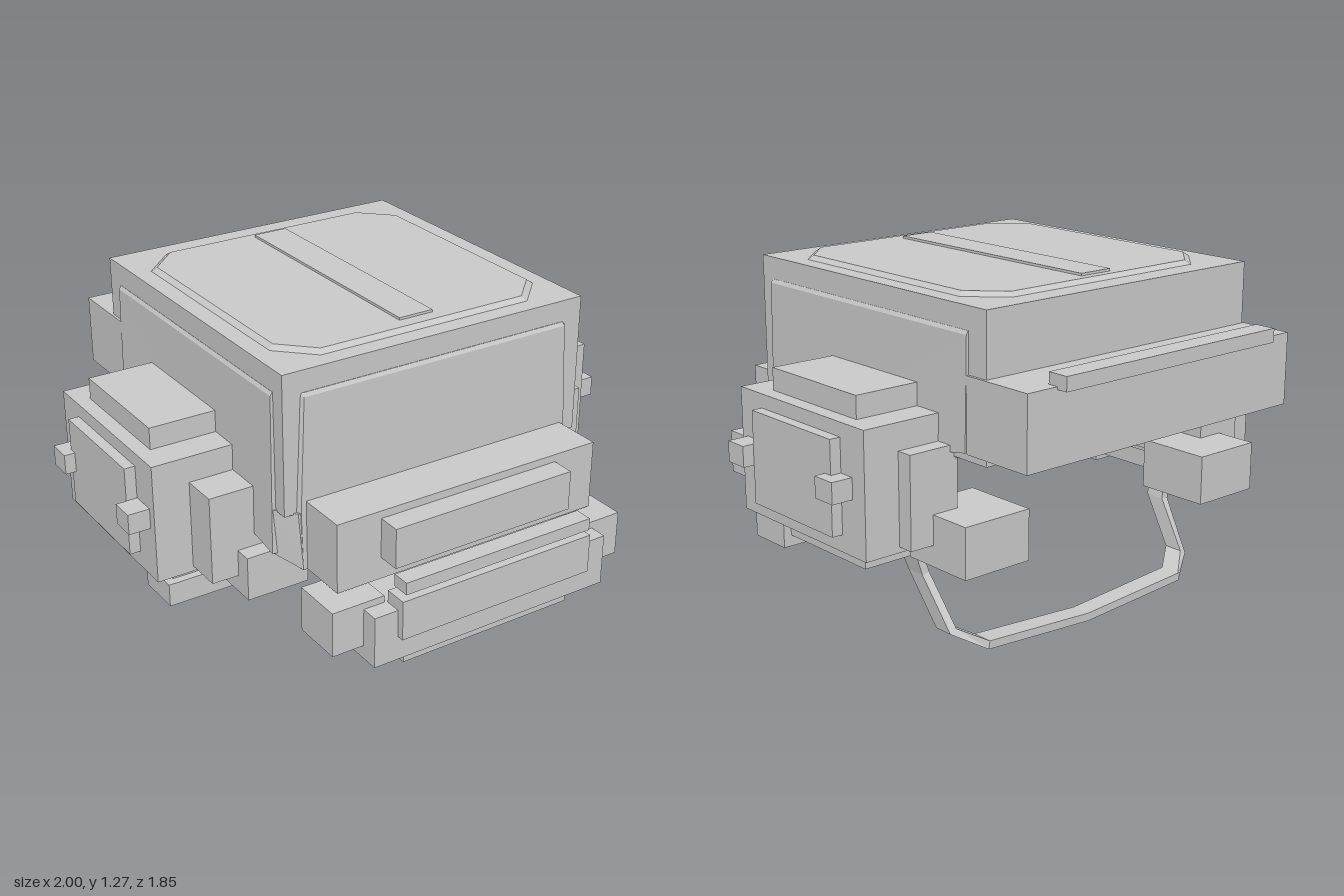
import * as THREE from 'three';

export function createModel() {
  const model = new THREE.Group();
  model.name = 'helmet';
  const grey = new THREE.MeshStandardMaterial({ color: 0xc8c8c8 });
  grey.name = 'plain grey';

  const add = (name, geometry) => {
    const mesh = new THREE.Mesh(geometry, grey);
    mesh.name = name;
    model.add(mesh);
  };

  // Box given by its extents
  const box = (name, x0, x1, y0, y1, z0, z1) => {
    const g = new THREE.BoxGeometry(x1 - x0, y1 - y0, z1 - z0);
    g.translate((x0 + x1) / 2, (y0 + y1) / 2, (z0 + z1) / 2);
    add(name, g);
  };

  // Flat-shaded solid through a list of convex cross-sections
  const loft = (name, rings) => {
    const tris = [];
    const n = rings[0].length;
    for (let r = 0; r < rings.length - 1; r++) {
      const a = rings[r], b = rings[r + 1];
      for (let i = 0; i < n; i++) {
        const j = (i + 1) % n;
        tris.push([a[i], a[j], b[j]], [a[i], b[j], b[i]]);
      }
    }
    const first = rings[0], last = rings[rings.length - 1];
    for (let i = 1; i < n - 1; i++) {
      tris.push([first[0], first[i + 1], first[i]], [last[0], last[i], last[i + 1]]);
    }
    // Turn the faces outward whichever way the sections were listed
    const v = (p) => new THREE.Vector3(...p);
    const origin = v(first[0]);
    const volume = tris.reduce((sum, [a, b, c]) => sum +
      v(a).sub(origin).dot(v(b).sub(origin).cross(v(c).sub(origin))), 0);
    if (volume < 0) tris.forEach((t) => t.reverse());
    const g = new THREE.BufferGeometry();
    g.setAttribute('position', new THREE.Float32BufferAttribute(tris.flat(2), 3));
    g.computeVertexNormals();
    add(name, g);
  };

  // Shell: square crown and a lower part whose rim rises to the back
  box('crown', -0.605, 0.605, 0.74, 1.248, -0.685, 0.545);
  const rim = (x) => [[x, 0.58, 0.49], [x, 0.745, -0.6], [x, 0.8, -0.6], [x, 0.8, 0.49]];
  loft('lowerShell', [rim(-0.6), rim(0.6)]);

  // Front panel with bevelled edges, flaring slightly towards the bottom
  const frontSection = (y, outer, inner, z) =>
    [[-outer, y, 0.543], [outer, y, 0.543], [inner, y, z], [-inner, y, z]];
  loft('frontPanel', [
    frontSection(0.53, 0.55, 0.545, 0.562),
    frontSection(0.74, 0.56, 0.55, 0.56),
    frontSection(1.157, 0.54, 0.53, 0.555),
    frontSection(1.17, 0.535, 0.525, 0.547),
  ]);
  box('frontPanelCore', -0.545, 0.545, 0.535, 0.75, 0.45, 0.545);

  // Raised bevelled octagon and ridge on the crown
  const octagon = (inset, y) => {
    const x = 0.54 - inset, z0 = -0.6 + inset, z1 = 0.48 - inset, c = 0.12 - inset * 0.4;
    return [[x - c, z0], [x, z0 + c], [x, z1 - c], [x - c, z1],
      [c - x, z1], [-x, z1 - c], [-x, z0 + c], [c - x, z0]].map(([px, pz]) => [px, y, pz]);
  };
  loft('topPlate', [octagon(0, 1.247), octagon(0.02, 1.263)]);
  box('topRidge', -0.067, 0.067, 1.26, 1.272, -0.55, 0.41);

  // Brow, visor and breather at the front
  box('brow', -0.53, 0.53, 0.53, 0.785, 0.5, 0.745);
  box('visor', -0.36, 0.36, 0.61, 0.757, 0.74, 0.83);
  box('visorBar', -0.38, 0.38, 0.565, 0.61, 0.853, 0.92);
  box('breatherPlate', -0.39, 0.39, 0.395, 0.54, 0.83, 0.917);
  box('breather', -0.48, 0.48, 0.305, 0.495, 0.68, 0.89);
  box('chin', -0.345, 0.345, 0.26, 0.31, 0.73, 0.86);

  // Neck guard and bar at the back
  box('neckGuard', -0.615, 0.615, 0.765, 1.025, -0.885, -0.6);
  box('neckBar', -0.49, 0.49, 1.015, 1.065, -0.925, -0.845);

  // Parts repeated on both sides
  for (const [side, s] of [['left', 1], ['right', -1]]) {
    const sideBox = (name, x0, x1, ...rest) =>
      box(side + name, Math.min(s * x0, s * x1), Math.max(s * x0, s * x1), ...rest);

    // Bevelled, flared side panel with a slanted lower edge
    const sideSection = (yFront, yBack, x, zFront) => [
      [s * 0.55, yFront, zFront + 0.008], [s * x, yFront, zFront],
      [s * x, yBack, -0.6], [s * 0.55, yBack, -0.6]];
    loft(side + 'SidePanel', [
      sideSection(0.58, 0.77, 0.621, 0.49),
      sideSection(1.155, 1.155, 0.614, 0.486),
      sideSection(1.168, 1.168, 0.606, 0.486),
    ]);
    // Chamfered corner below the recess
    loft(side + 'FrontCorner', [
      [[s * 0.5, 0.53, 0.562], [s * 0.545, 0.53, 0.562], [s * 0.62, 0.58, 0.47], [s * 0.5, 0.58, 0.45]],
      [[s * 0.5, 0.745, 0.558], [s * 0.56, 0.745, 0.558], [s * 0.615, 0.745, 0.49], [s * 0.5, 0.745, 0.45]],
    ]);

    sideBox('Cheek', 0.4, 0.6, 0.355, 0.52, 0.635, 0.825);

    // Ear cup, base, caps and knobs
    sideBox('EarBase', 0.59, 0.785, 0.455, 0.78, -0.525, 0.368);
    sideBox('EarCup', 0.61, 0.92, 0.435, 0.875, -0.465, 0.23);
    sideBox('EarCap', 0.91, 0.96, 0.495, 0.825, -0.34, 0.105);
    sideBox('EarTop', 0.615, 0.865, 0.87, 0.955, -0.355, 0.115);
    sideBox('EarUnderPlate', 0.62, 0.85, 0.365, 0.44, -0.365, 0.2);
    sideBox('EarFoot', 0.63, 0.88, 0.325, 0.41, 0.06, 0.23);
    sideBox('FrontKnob', 0.91, 1, 0.63, 0.705, 0.107, 0.198);
    sideBox('BackKnob', 0.91, 1, 0.63, 0.705, -0.4, -0.308);

    // Jaw blocks before and behind the ear cup
    sideBox('FrontJaw', 0.45, 0.685, 0.39, 0.553, 0.2, 0.432);
    sideBox('BackJaw', 0.42, 0.693, 0.38, 0.56, -0.685, -0.4);
  }

  // Chin strap: half path as x, y, front z, back z, then mirrored
  const half = [[0.618, 0.47, -0.24, -0.33], [0.61, 0.36, -0.26, -0.345], [0.59, 0.28, -0.28, -0.355],
    [0.57, 0.1, -0.4, -0.475], [0.47, 0.045, -0.465, -0.545], [0, 0.015, -0.47, -0.545]];
  const path = [...half, ...half.slice(0, -1).reverse().map(([x, ...rest]) => [-x, ...rest])];
  const strap = path.map(([x, y, zFront, zBack], i) => {
    const a = path[Math.max(i - 1, 0)], b = path[Math.min(i + 1, path.length - 1)];
    const dx = b[0] - a[0], dy = b[1] - a[1], k = 0.015 / Math.hypot(dx, dy);
    const nx = -dy * k, ny = dx * k;
    return [[x + nx, y + ny, zFront], [x - nx, y - ny, zFront],
      [x - nx, y - ny, zBack], [x + nx, y + ny, zBack]];
  });
  loft('chinStrap', strap);

  return model;
}
